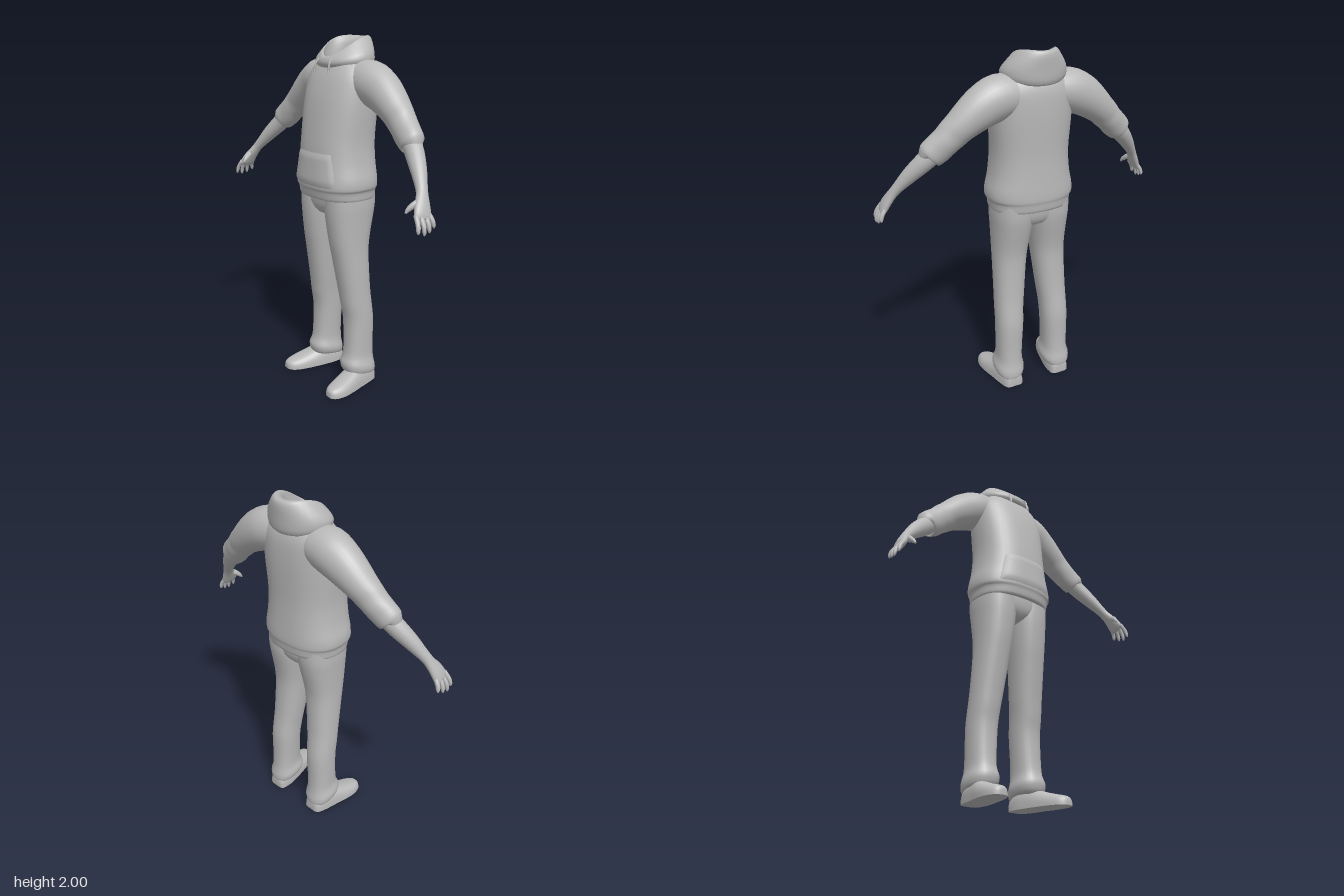
import * as THREE from 'three';

const V = (x, y, z) => new THREE.Vector3(x, y, z);
const spow = (v, e) => Math.sign(v) * Math.pow(Math.abs(v), 2 / e);

// Catmull-Rom refinement of a list of number rows
function refine(rows, k) {
  const out = [], at = i => rows[Math.max(0, Math.min(rows.length - 1, i))];
  for (let i = 0; i < rows.length - 1; i++) {
    for (let s = 0; s < k; s++) {
      const t = s / k;
      out.push(rows[i].map((p1, c) => {
        const p0 = at(i - 1)[c], p2 = at(i + 1)[c], p3 = at(i + 2)[c];
        return 0.5 * (2 * p1 + (p2 - p0) * t + (2 * p0 - 5 * p1 + 4 * p2 - p3) * t * t
          + (3 * p1 - p0 - 3 * p2 + p3) * t * t * t);
      }));
    }
  }
  out.push(rows[rows.length - 1]);
  return out;
}

// Skin over loops of points, optionally closed at both ends
function skin(loops, caps = false) {
  const n = loops[0].length, pos = [], idx = [];
  loops.forEach(l => l.forEach(p => pos.push(p.x, p.y, p.z)));
  for (let i = 0; i < loops.length - 1; i++) {
    for (let j = 0; j < n; j++) {
      const a = i * n + j, b = i * n + (j + 1) % n;
      idx.push(a, b, b + n, a, b + n, a + n);
    }
  }
  if (caps) {
    [0, loops.length - 1].forEach(i => {
      const c = loops[i].reduce((s, p) => s.add(p), V(0, 0, 0)).divideScalar(n);
      const m = pos.length / 3;
      pos.push(c.x, c.y, c.z);
      for (let j = 0; j < n; j++) {
        const a = i * n + j, b = i * n + (j + 1) % n;
        if (i === 0) idx.push(m, b, a); else idx.push(m, a, b);
      }
    });
  }
  return finish(pos, idx);
}

function finish(pos, idx) {
  const g = new THREE.BufferGeometry();
  g.setAttribute('position', new THREE.Float32BufferAttribute(pos, 3));
  g.setIndex(idx);
  g.computeVertexNormals();
  return g;
}

// Upright stack; rows are [yFront, ySide, yBack, xMin, xMax, zFront, zBack], bottom to top
function stack(rows, { n = 36, e = 2.4, k = 3 } = {}) {
  return skin(refine(rows, k).map(([yf, ys, yb, x0, x1, zf, zb]) =>
    Array.from({ length: n }, (_, j) => {
      const t = -j / n * Math.PI * 2, s = spow(Math.sin(t), e);
      return V((x0 + x1) / 2 + (x1 - x0) / 2 * spow(Math.cos(t), e),
        ys + s * (yf - yb) / 2 + s * s * ((yf + yb) / 2 - ys),
        (zf + zb) / 2 + (zf - zb) / 2 * s);
    })));
}
const level = (y, x0, x1, zf, zb) => [y, y, y, x0, x1, zf, zb];

// Limb along a path; rows are [x, y, z, thickness, width], width lying near the z axis
function limb(rows, { n = 20, e = 2, k = 3, caps = true } = {}) {
  const r = refine(rows, k);
  return skin(r.map((q, i) => {
    const a = r[Math.max(0, i - 1)], b = r[Math.min(r.length - 1, i + 1)];
    const T = V(b[0] - a[0], b[1] - a[1], b[2] - a[2]).normalize();
    const B = V(0, 0, 1).addScaledVector(T, -T.z).normalize();
    const A = B.clone().cross(T);
    return Array.from({ length: n }, (_, j) => {
      const t = j / n * Math.PI * 2;
      return V(q[0], q[1], q[2]).addScaledVector(A, q[3] * spow(Math.cos(t), e))
        .addScaledVector(B, q[4] * spow(Math.sin(t), e));
    });
  }), caps);
}

function mirrored(g) {
  const m = g.clone().scale(-1, 1, 1), ix = m.index.array;
  for (let i = 0; i < ix.length; i += 3) [ix[i], ix[i + 1]] = [ix[i + 1], ix[i]];
  m.computeVertexNormals();
  return m;
}

export function createModel() {
  const group = new THREE.Group();
  const grey = new THREE.MeshStandardMaterial({ color: 0xb8b8b8, side: THREE.DoubleSide });
  grey.name = 'plain grey';
  const add = (name, g) => {
    const m = new THREE.Mesh(g, grey);
    m.name = name;
    group.add(m);
  };
  const pair = (name, g) => {
    add(name + 'Left', g);
    add(name + 'Right', mirrored(g));
  };

  // Sweater body with a gathered hem
  const body = [
    [1.14, 0.215, 0.14, -0.165], [1.135, 0.23, 0.165, -0.185], [1.18, 0.235, 0.175, -0.192],
    [1.2, 0.247, 0.182, -0.197], [1.25, 0.246, 0.18, -0.197], [1.33, 0.228, 0.174, -0.194],
    [1.45, 0.217, 0.165, -0.192], [1.6, 0.224, 0.143, -0.198], [1.7, 0.226, 0.122, -0.2],
    [1.79, 0.222, 0.092, -0.195], [1.85, 0.185, 0.062, -0.175], [1.875, 0.135, 0.055, -0.155],
  ];
  add('sweaterBody', stack(body.map(([y, w, f, b]) => level(y, -w, w, f, b))));

  // Front pouch pocket following the belly
  const bodyFront = (x, y) => {
    let i = 2;
    while (i < body.length - 2 && body[i + 1][0] < y) i++;
    const t = (y - body[i][0]) / (body[i + 1][0] - body[i][0]);
    const [w, f, b] = [1, 2, 3].map(c => body[i][c] + (body[i + 1][c] - body[i][c]) * t);
    return (f + b) / 2 + (f - b) / 2 * Math.pow(1 - Math.pow(Math.abs(x) / w, 2.4), 1 / 2.4);
  };
  const pos = [], idx = [], nx = 20, ny = 8;
  for (let i = 0; i <= ny; i++) {
    for (let j = 0; j <= nx; j++) {
      const y = 1.2 + 0.2 * i / ny, u = j / nx * 2 - 1;
      const x = u * (0.19 - 0.05 * i / ny);
      const rim = i === 0 || i === ny || j === 0 || j === nx;
      pos.push(x, y, bodyFront(x, y) + (rim ? -0.004 : 0.008));
      if (i < ny && j < nx) {
        const a = i * (nx + 1) + j, c = a + nx + 1;
        idx.push(a, a + 1, c + 1, a, c + 1, c);
      }
    }
  }
  add('pouchPocket', finish(pos, idx));

  // Hood folded down around the open neck
  const hood = [
    [1.83, 1.83, 1.82, 0.15, 0.06, -0.175], [1.85, 1.865, 1.835, 0.178, 0.08, -0.206],
    [1.87, 1.91, 1.91, 0.174, 0.083, -0.214], [1.89, 1.968, 1.98, 0.128, 0.074, -0.217],
    [1.895, 1.985, 2.0, 0.108, 0.06, -0.195], [1.88, 1.955, 1.975, 0.104, 0.05, -0.145],
    [1.855, 1.89, 1.91, 0.1, 0.045, -0.125], [1.82, 1.82, 1.82, 0.1, 0.04, -0.12],
  ];
  add('hood', stack(hood.map(([f, s, b, w, zf, zb]) => [f, s, b, -w, w, zf, zb]), { e: 2 }));

  // Drawstrings
  pair('drawstring', new THREE.TubeGeometry(new THREE.CatmullRomCurve3([
    V(0.055, 1.885, 0.07), V(0.06, 1.86, 0.088), V(0.064, 1.81, 0.098)]), 8, 0.006, 6));

  // Sleeves with creases, ending below the elbow
  pair('sleeve', limb([
    [0.08, 1.775, -0.07, 0.1, 0.1], [0.2, 1.765, -0.075, 0.118, 0.112],
    [0.285, 1.73, -0.078, 0.113, 0.104], [0.36, 1.68, -0.074, 0.098, 0.094],
    [0.42, 1.632, -0.068, 0.085, 0.083], [0.455, 1.6, -0.062, 0.083, 0.074],
    [0.49, 1.567, -0.055, 0.077, 0.072], [0.53, 1.53, -0.045, 0.078, 0.066],
    [0.572, 1.497, -0.035, 0.071, 0.062], [0.577, 1.492, -0.034, 0.048, 0.046],
  ], { n: 28, caps: false }));

  // Forearm and palm
  pair('forearm', limb([
    [0.5, 1.55, -0.05, 0.05, 0.05], [0.58, 1.48, -0.03, 0.052, 0.05],
    [0.66, 1.4, 0.01, 0.043, 0.043], [0.72, 1.33, 0.045, 0.03, 0.033],
    [0.75, 1.29, 0.065, 0.025, 0.032], [0.78, 1.24, 0.09, 0.024, 0.045],
    [0.8, 1.2, 0.105, 0.02, 0.05], [0.81, 1.185, 0.11, 0.012, 0.042],
  ]));

  // Fingers and thumb
  for (let f = 0; f < 4; f++) {
    const z = 0.068 + f * 0.026, dz = (f - 1.2) * 0.006, len = [0.82, 1, 1.08, 0.95][f];
    pair('finger' + (f + 1), limb([
      [0.795, 1.21, z, 0.013, 0.013],
      [0.795 + 0.028 * len, 1.21 - 0.04 * len, z + dz, 0.012, 0.012],
      [0.795 + 0.037 * len, 1.21 - 0.07 * len, z + dz * 1.5, 0.01, 0.01],
      [0.795 + 0.038 * len, 1.21 - 0.086 * len, z + dz * 1.6, 0.004, 0.004],
    ], { n: 10 }));
  }
  pair('thumb', limb([
    [0.77, 1.27, 0.085, 0.016, 0.016], [0.757, 1.25, 0.122, 0.016, 0.018],
    [0.746, 1.228, 0.15, 0.012, 0.012], [0.742, 1.21, 0.163, 0.005, 0.005],
  ], { n: 10 }));

  // Trousers: seat and legs with loose cuffs
  add('trouserSeat', stack([
    level(1.01, -0.03, 0.03, 0.03, -0.05), level(1.04, -0.1, 0.1, 0.1, -0.125),
    level(1.1, -0.21, 0.21, 0.13, -0.155), level(1.2, -0.215, 0.215, 0.132, -0.16),
  ]));
  pair('trouserLeg', stack([
    level(0.075, 0.1, 0.22, 0.03, -0.125), [0.09, 0.075, 0.05, 0.078, 0.238, 0.052, -0.148],
    [0.135, 0.115, 0.09, 0.066, 0.245, 0.062, -0.152], [0.18, 0.17, 0.15, 0.078, 0.23, 0.046, -0.142],
    level(0.25, 0.077, 0.228, 0.038, -0.138), level(0.4, 0.068, 0.228, 0.036, -0.14),
    level(0.5, 0.062, 0.226, 0.052, -0.13), level(0.6, 0.05, 0.223, 0.066, -0.12),
    level(0.8, 0.03, 0.218, 0.1, -0.114), level(0.9, 0.018, 0.218, 0.117, -0.124),
    level(1.02, 0.002, 0.222, 0.131, -0.15), level(1.1, -0.004, 0.226, 0.135, -0.163),
    level(1.2, 0, 0.222, 0.135, -0.165),
  ], { n: 28, e: 2.3 }));

  // Shoes: rows are [z, x centre, half width, height], flat at the sole
  const shoe = refine([
    [-0.15, 0.155, 0.03, 0.05], [-0.135, 0.156, 0.055, 0.085], [-0.07, 0.163, 0.068, 0.115],
    [0, 0.175, 0.07, 0.11], [0.07, 0.19, 0.071, 0.085], [0.14, 0.203, 0.066, 0.065],
    [0.19, 0.21, 0.05, 0.052], [0.212, 0.213, 0.03, 0.04], [0.218, 0.214, 0.012, 0.025],
  ], 3);
  pair('shoe', skin(shoe.map(([z, cx, w, h]) => Array.from({ length: 28 }, (_, j) => {
    const t = j / 28 * Math.PI * 2;
    return V(cx + w * spow(Math.cos(t), 2.6), Math.max(0, h * spow(Math.sin(t), 2.6)), z);
  })), true));

  return group;
}
